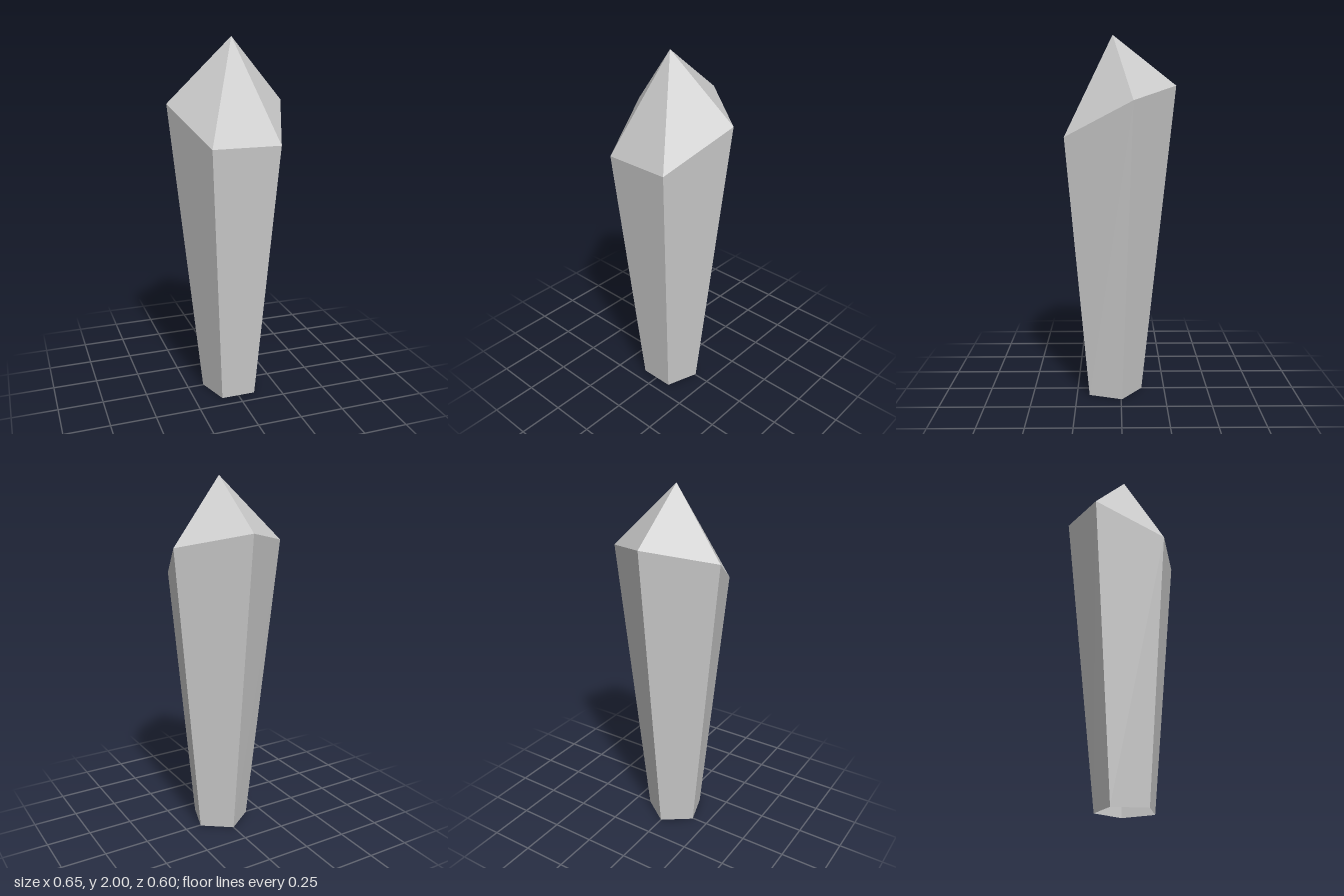
import * as THREE from 'three';

const material = new THREE.MeshStandardMaterial({
  color: 0xcccccc, flatShading: true, side: THREE.DoubleSide,
});

// Five corners, counter-clockwise from above: front left, left, back, right, front right
function pentagonRing(front, side, back) {
  const mirror = ([x, y, z]) => [-x, y, z];
  return [front, side, back, mirror(side), mirror(front)];
}

function facetMesh(name, triangles) {
  const geometry = new THREE.BufferGeometry();
  geometry.setAttribute('position', new THREE.Float32BufferAttribute(triangles.flat(2), 3));
  geometry.computeVertexNormals();
  const mesh = new THREE.Mesh(geometry, material);
  mesh.name = name;
  return mesh;
}

export function createModel() {
  const group = new THREE.Group();
  group.name = 'crystal';

  const base = pentagonRing([0.097, 0, 0.179], [0.157, 0, -0.005], [0, 0, -0.119]);
  const shoulder = pentagonRing([0.185, 1.465, 0.3], [0.325, 1.655, -0.06], [0, 1.733, -0.3]);
  const apex = [0, 2, 0.045];

  const shaft = [];
  const tip = [];
  for (let i = 0; i < 5; i++) {
    const j = (i + 1) % 5;
    shaft.push([base[i], base[j], shoulder[j]], [base[i], shoulder[j], shoulder[i]]);
    tip.push([shoulder[i], shoulder[j], apex]);
  }

  // Tapered shaft, open underneath, and the slanted pointed tip
  group.add(facetMesh('shaft', shaft), facetMesh('tip', tip));
  return group;
}
